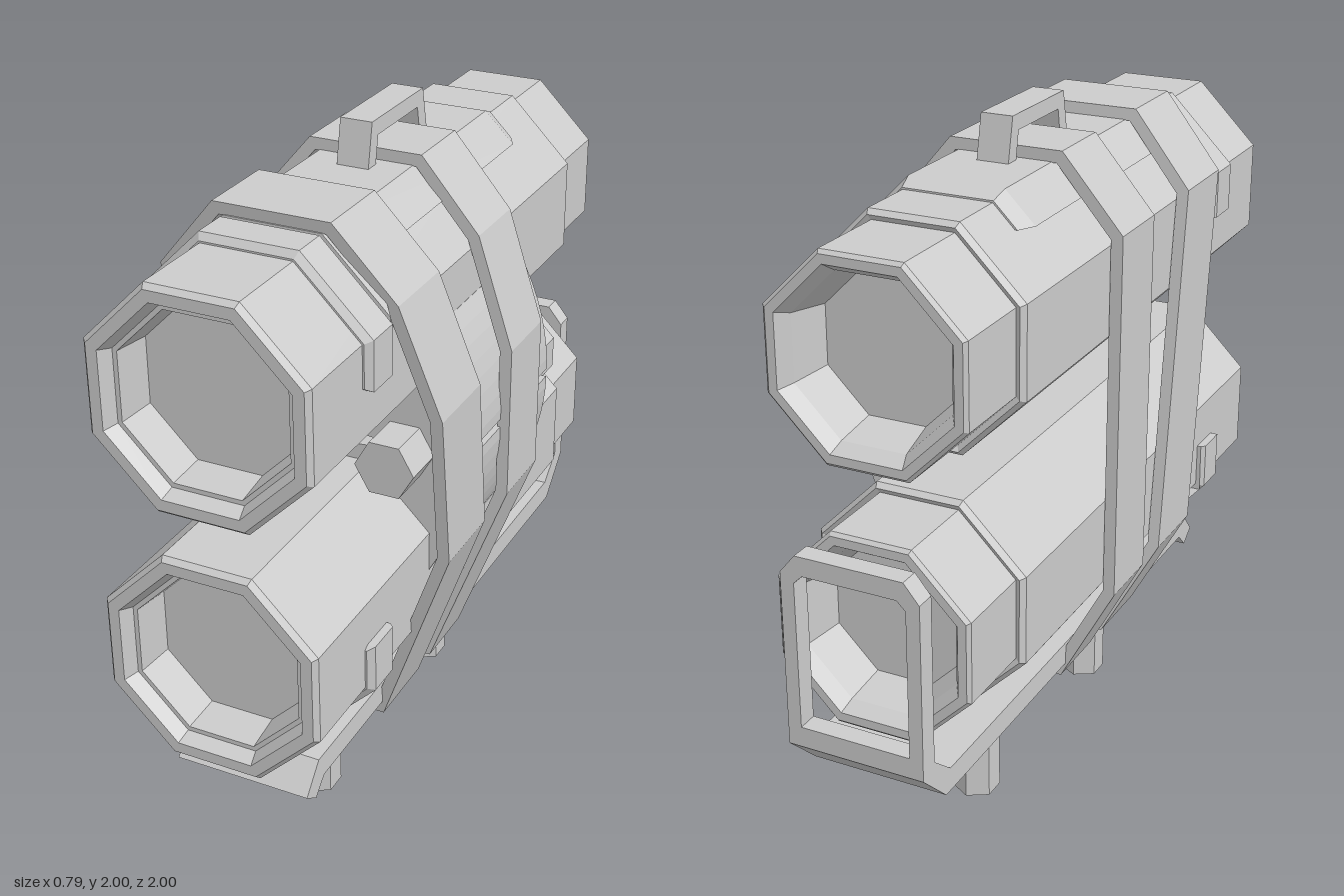
import * as THREE from 'three';

const CX = -0.05;                 // centre line of the tubes
const TOP = 1.54, LOW = 0.785;    // tube heights
const MID = (TOP + LOW) / 2;
const T8 = Math.tan(Math.PI / 8), C8 = Math.cos(Math.PI / 8);
const mat = new THREE.MeshStandardMaterial({ color: 0xcccccc, flatShading: true });
const smoothMat = new THREE.MeshStandardMaterial({ color: 0xcccccc });
const toShape = pts => new THREE.Shape(pts.map(p => new THREE.Vector2(p[0], p[1])));

function add(group, name, geo, material = mat) {
  const mesh = new THREE.Mesh(geo, material);
  mesh.name = name;
  group.add(mesh);
  return mesh;
}

// Extrude an outline along z, with an optional hole
function extrudeZ(pts, z0, z1, hole) {
  const s = toShape(pts);
  if (hole) s.holes.push(toShape(hole));
  return new THREE.ExtrudeGeometry(s, { depth: z1 - z0, bevelEnabled: false }).translate(0, 0, z0);
}

// Extrude a (z, y) side profile along x
function extrudeX(pts, x0, x1) {
  return new THREE.ExtrudeGeometry(toShape(pts), { depth: x1 - x0, bevelEnabled: false })
    .rotateY(-Math.PI / 2).translate(x1, 0, 0);
}

// Prism along z
function prismZ(r, sides, start, x, y, z0, z1) {
  return new THREE.CylinderGeometry(r, r, z1 - z0, sides, 1, false, start)
    .rotateX(Math.PI / 2).translate(x, y, (z0 + z1) / 2);
}

// Eight-sided tube, recessed at both ends; profile is [apothem, z]
function tubeGeometry() {
  const profile = [
    [0, -0.74], [0.2, -0.74], [0.225, -0.86], [0.25, -0.9], [0.275, -0.9], [0.285, -0.89],
    [0.285, -0.64], [0.3, -0.65], [0.313, -0.635], [0.313, 0.985], [0.3, 1], [0.268, 1],
    [0.25, 0.96], [0.237, 0.96], [0.225, 0.85], [0, 0.85],
  ].map(([a, z]) => new THREE.Vector2(a / C8, z));
  return new THREE.LatheGeometry(profile, 8, Math.PI / 8).rotateX(Math.PI / 2);
}

// Clip hugging the tube: each station is [z, outer apothem, how far down the sides it reaches]
function clipGeometry() {
  const stations = [
    [0.73, 0.318, 0.01], [0.715, 0.337, 0], [0.612, 0.337, 0], [0.6, 0.325, 0], [0.6, 0.337, 0.15],
    [0.49, 0.337, 0.25], [-0.41, 0.337, 0.25], [-0.46, 0.318, 0.25],
  ];
  const half = (a, low) => {
    const t = a * T8;
    const corner = low > t ? [a - (low - t), low] : [a, t];
    return [low > t ? corner : [a, low], corner, [t, a]];
  };
  const arc = (a, low) => {
    const h = half(a, low);
    return [...h, ...h.map(([x, y]) => [-x, y]).reverse()];
  };
  const m = 6, n = 12, pos = [], idx = [];
  for (const [z, a, low] of stations) {
    for (const [x, y] of [...arc(a, low), ...arc(0.29, low).reverse()]) pos.push(x, y, z);
  }
  for (let k = 0; k < stations.length - 1; k++) {
    for (let i = 0; i < n; i++) {
      const a = k * n + i, b = k * n + (i + 1) % n;
      idx.push(a, a + n, b, b, a + n, b + n);
    }
  }
  const e = (stations.length - 1) * n;
  for (let j = 0; j < m - 1; j++) {
    const p = j, q = j + 1, r = n - 2 - j, s = n - 1 - j;
    idx.push(p, q, r, p, r, s, e + p, e + r, e + q, e + p, e + s, e + r);
  }
  const g = new THREE.BufferGeometry();
  g.setAttribute('position', new THREE.Float32BufferAttribute(pos, 3));
  g.setIndex(idx);
  g.computeVertexNormals();
  return g;
}

// Inward offset of a convex counter-clockwise polygon
function inset(pts, d) {
  const n = pts.length;
  const edge = i => {
    const p = pts[i], q = pts[(i + 1) % n];
    const l = Math.hypot(q[0] - p[0], q[1] - p[1]);
    return [-(q[1] - p[1]) / l, (q[0] - p[0]) / l];
  };
  return pts.map((p, i) => {
    const a = edge((i + n - 1) % n), b = edge(i);
    const k = d / (1 + a[0] * b[0] + a[1] * b[1]);
    return [p[0] + (a[0] + b[0]) * k, p[1] + (a[1] + b[1]) * k];
  });
}

// Strap loop, sheared along z as it rises
function strapGeometry(z0, z1, lean) {
  const outline = [
    [-0.235, 0.31], [0.155, 0.31], [0.39, 0.94], [0.39, 1.39], [0.285, 1.71],
    [0.115, 1.91], [-0.22, 1.91], [-0.4, 1.7], [-0.4, 0.62],
  ];
  const g = extrudeZ(outline, z0, z1, inset(outline, 0.035));
  const p = g.attributes.position;
  for (let i = 0; i < p.count; i++) p.setZ(i, p.getZ(i) + (p.getY(i) - 0.31) * lean);
  g.computeVertexNormals();
  return g;
}

// Half of the side housing, s = 1 above the groove and -1 below it
function housingGeometry(s) {
  const pts = [[-0.04, 0.085], [-0.035, 0.025], [0.1, 0.012], [0.363, 0.012]];
  for (let i = 1; i <= 8; i++) {
    const y = 0.367 * i / 8;
    pts.push([-0.351 + Math.sqrt(0.716 ** 2 - y * y), y]);
  }
  pts.push([0.2, 0.367], [0.2, 0.3], [0.05, 0.12]);
  return extrudeZ(pts.map(([x, y]) => [x, MID + s * y]), -0.265, 0.33);
}

export function createModel() {
  const model = new THREE.Group();
  model.name = 'twinTubePack';

  // Tubes with clips and handles, the lower set turned upside down
  const handle = [
    [0.165, 0.31], [0.135, 0.46], [-0.18, 0.46], [-0.212, 0.31],
    [-0.165, 0.31], [-0.145, 0.415], [0.1, 0.415], [0.12, 0.31],
  ];
  for (const [name, y, turn] of [['upper', TOP, 0], ['lower', LOW, Math.PI]]) {
    const unit = new THREE.Group();
    unit.name = name + 'Unit';
    unit.position.set(CX, y, 0);
    unit.rotation.z = turn;
    add(unit, name + 'Tube', tubeGeometry());
    add(unit, name + 'Clip', clipGeometry());
    add(unit, name + 'Handle', extrudeX(handle, -0.047, 0.047));
    model.add(unit);
  }

  // Straps around both tubes
  add(model, 'straightStrap', strapGeometry(-0.135, 0.08, 0));
  add(model, 'slantedStrap', strapGeometry(0.16, 0.4, 0.125));

  // Side housing and its knobs
  add(model, 'upperHousing', housingGeometry(1), smoothMat);
  add(model, 'lowerHousing', housingGeometry(-1), smoothMat);
  add(model, 'frontKnob', prismZ(0.088, 6, Math.PI / 6, 0.187, MID, 0.3, 0.46));
  add(model, 'backKnob', prismZ(0.11 / C8, 8, Math.PI / 8, 0.22, MID, -0.405, -0.25));

  // Tray with a front lip and a sloped back
  add(model, 'tray', extrudeX([
    [0.8, 0.425], [0.872, 0.345], [0.82, 0.308], [0.77, 0.355], [-0.88, 0.355],
    [-1, 0.47], [-1, 0.51], [-0.94, 0.51], [-0.94, 0.495], [-0.855, 0.425],
  ], -0.25, 0.155));

  // Open frame standing behind the lower tube
  add(model, 'backFrame', extrudeZ(
    [[-0.25, 0.5], [0.155, 0.5], [0.155, 0.985], [0.11, 1.04], [-0.205, 1.04], [-0.25, 0.985]],
    -1, -0.94,
    [[-0.21, 0.53], [0.115, 0.53], [0.115, 0.96], [0.09, 0.985], [-0.185, 0.985], [-0.21, 0.96]]));

  // Posts
  for (const [name, z] of [['frontPost', 0.412], ['backPost', -0.347]]) {
    add(model, name, new THREE.CylinderGeometry(0.069, 0.069, 0.48, 6).translate(-0.06, 0.24, z));
  }
  return model;
}
